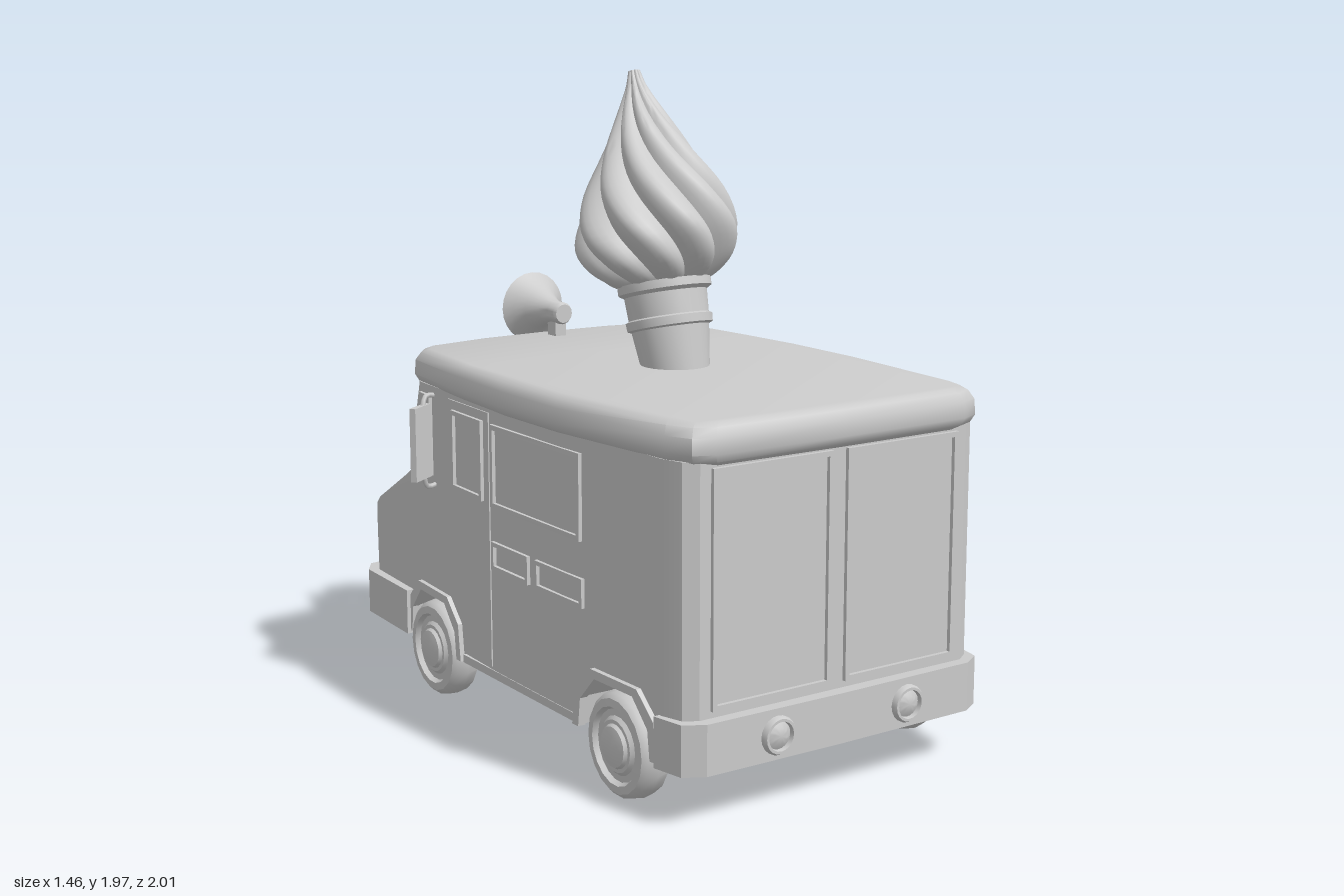
import * as THREE from 'three';
import { toCreasedNormals } from 'three/addons/utils/BufferGeometryUtils.js';

const mat = new THREE.MeshStandardMaterial({ color: 0xcccccc });
const thin = new THREE.MeshStandardMaterial({ color: 0xcccccc, side: THREE.DoubleSide });

// linear lookup in a table of [key, value] with rising keys
function look(table, k) {
  for (let i = 1; i < table.length; i++) {
    const [a, va] = table[i - 1], [b, vb] = table[i];
    if (k <= b || i === table.length - 1) {
      return va + (vb - va) * THREE.MathUtils.clamp((k - a) / (b - a), 0, 1);
    }
  }
}

// half width of the body along z, and how far the nose curves back along x
const WIDTH = [[-1, 0.475], [-0.87, 0.49], [-0.58, 0.505], [-0.4, 0.522], [0, 0.538], [0.4, 0.538], [0.85, 0.52], [0.92, 0.5], [0.95, 0.46]];
const BOW = [[0, 0], [0.28, 0.005], [0.43, 0.03], [0.5, 0.08]];
const WHEELS = [0.655, -0.41];

// closed loft through rings of [x, z] points, each at its own height
function loft(rings, caps = [true, true], crease = 0.5) {
  const n = rings[0].pts.length, pos = [], idx = [];
  rings.forEach(r => r.pts.forEach(([x, z]) => pos.push(x, r.y, z)));
  for (let j = 0; j < rings.length - 1; j++) {
    for (let i = 0; i < n; i++) {
      const a = j * n + i, b = j * n + (i + 1) % n;
      idx.push(a, b, b + n, a, b + n, a + n);
    }
  }
  [0, rings.length - 1].forEach((j, k) => {
    if (!caps[k]) return;
    const flat = rings[j].pts.map(([x, z]) => new THREE.Vector2(x, -z));
    THREE.ShapeUtils.triangulateShape(flat, []).forEach(([a, b, c]) =>
      idx.push(j * n + a, j * n + (k ? b : c), j * n + (k ? c : b)));
  });
  const g = new THREE.BufferGeometry();
  g.setAttribute('position', new THREE.Float32BufferAttribute(pos, 3));
  g.setIndex(idx);
  return toCreasedNormals(g, crease);
}

// right half outline, from rear to front, completed by its mirror image
const mirror = half => half.concat(half.slice().reverse().map(([x, z]) => [-x, z]).filter(([x]) => x !== 0));
const inset = (pts, d) => pts.map(([x, z]) => [x * (1 - d / 0.5), z - Math.sign(z) * d]);

function bodyRing([y, zf, hw, depth]) {
  const notch = c => [[c + hw, 0], [c + hw, depth], [c - hw, depth], [c - hw, 0]].map(([z, d]) => [look(WIDTH, z) - d, z]);
  const q = look(WIDTH, zf + 0.08);
  return { y, pts: mirror([[0, 0.95], [0.46, 0.95], [0.5, 0.925], [0.52, 0.86], ...notch(WHEELS[0]),
    [0.538, 0.4], [0.538, 0], ...notch(WHEELS[1]),
    [q, zf + 0.08], [q - 0.05, zf + 0.03], [0.28, zf + 0.005], [0, zf]]) };
}

const poly = pts => new THREE.Shape(pts.map(p => new THREE.Vector2(...p)));
const rect = (a0, a1, b0, b1) => [[a0, b0], [a1, b0], [a1, b1], [a0, b1]];

// border of width t just inside a polygon
function frameShape(pts, t) {
  const s = poly(pts), box = new THREE.Box2().setFromPoints(s.getPoints());
  const c = box.getCenter(new THREE.Vector2()), d = box.getSize(new THREE.Vector2());
  s.holes.push(new THREE.Path(pts.map(([x, y]) =>
    new THREE.Vector2(c.x + (x - c.x) * (1 - 2 * t / d.x), c.y + (y - c.y) * (1 - 2 * t / d.y)))));
  return s;
}

// extrude a shape and move every vertex by a rule
function wrapped(shape, depth, rule) {
  const g = new THREE.ExtrudeGeometry(shape, { depth, bevelEnabled: false });
  const p = g.attributes.position;
  for (let i = 0; i < p.count; i++) p.setXYZ(i, ...rule(p.getX(i), p.getY(i), p.getZ(i)));
  g.computeVertexNormals();
  return g;
}

export function createModel() {
  const truck = new THREE.Group();
  truck.name = 'iceCreamTruck';
  truck.position.x = -0.1;
  const add = (name, geo, x = 0, y = 0, z = 0, material = mat, parent = truck) => {
    const m = new THREE.Mesh(geo, material);
    m.name = name;
    m.position.set(x, y, z);
    parent.add(m);
    return m;
  };

  // body with wheel wells, hood and sloping windshield: height, nose z, well half width, well depth
  const levels = [[0.165, -0.95, 0.18, 0.13], [0.25, -0.95, 0.17, 0.13], [0.33, -0.953, 0.1, 0.13], [0.33, -0.953, 0.1, 0],
    [0.45, -0.957, 0.05, 0], [0.53, -0.955, 0.05, 0], [0.555, -0.93, 0.05, 0], [0.68, -0.7, 0.05, 0], [0.7, -0.67, 0.05, 0], [1.0, -0.585, 0.05, 0]];
  add('body', loft(levels.map(bodyRing)));

  // roof slab with rounded rim
  const roof = mirror([[0, 0.985], [0.43, 0.98], [0.49, 0.955], [0.525, 0.88], [0.565, 0.4], [0.567, 0.1], [0.55, -0.2],
    [0.515, -0.53], [0.47, -0.585], [0.25, -0.62], [0, -0.63]]);
  add('roof', loft([[0.985, 0.03], [0.998, 0.01], [1.02, 0], [1.065, 0.002], [1.09, 0.015], [1.1, 0.035]]
    .map(([y, d]) => ({ y, pts: inset(roof, d) })), [true, true], 0.7));

  // bumpers
  const bumper = (name, half) => add(name, loft([0.155, 0.3].map(y => ({ y, pts: mirror(half) }))));
  bumper('rearBumper', [[0, 0.99], [0.46, 0.985], [0.52, 0.95], [0.54, 0.85], [0, 0.85]]);
  bumper('frontBumper', [[0, -0.59], [0.532, -0.59], [0.52, -0.89], [0.48, -0.955], [0.22, -0.995], [0, -1]]);

  // rear doors
  for (const s of [-1, 1]) {
    add('rearDoorFrame', wrapped(frameShape(rect(s * 0.225 - 0.2, s * 0.225 + 0.2, 0.32, 0.98), 0.015), 0.012, (a, b, c) => [a, b, c]), 0, 0, 0.95);
  }

  // windshield frame following the nose
  const screen = [[-0.44, 0.7], [-0.28, 0.7], [0, 0.7], [0.28, 0.7], [0.44, 0.7], [0.41, 0.975], [0.28, 0.975], [0, 0.975], [-0.28, 0.975], [-0.41, 0.975]];
  add('windshieldFrame', wrapped(frameShape(screen, 0.02), 0.02,
    (a, b, c) => [-a, b, look([[0.7, -0.67], [1, -0.585]], b) + look(BOW, Math.abs(a)) - c + 0.005]));

  // lamps
  const lampGeo = r => toCreasedNormals(new THREE.LatheGeometry(
    [[r, -0.03], [r, 0.01], [r * 0.9, 0.02], [r * 0.76, 0.02], [r * 0.72, 0.006], [r * 0.4, 0.016], [0, 0.02]].map(p => new THREE.Vector2(...p)), 20), 0.6);
  for (const s of [-1, 1]) {
    add('tailLight', lampGeo(0.055).rotateX(Math.PI / 2), s * 0.228, 0.225, 0.985);
    add('headlight', lampGeo(0.08).rotateX(-Math.PI / 2), s * 0.34, 0.415, -0.945).rotation.y = -s * 0.16;
  }

  // everything repeated on both sides
  const tyre = [[0, -0.05], [0.13, -0.05], [0.148, -0.035], [0.155, 0], [0.148, 0.035], [0.135, 0.048], [0.112, 0.05], [0.104, 0.035],
    [0.085, 0.036], [0.075, 0.046], [0.064, 0.046], [0.058, 0.056], [0.035, 0.062], [0, 0.064]].map(p => new THREE.Vector2(...p));
  const trims = [
    ['servingWindowFrame', rect(0, 0.49, 0.7, 0.95), 0.015, 0.014],
    ['lowerPanelFrame', rect(0.25, 0.5, 0.51, 0.595), 0.013, 0.014],
    ['lowerPanelFrame', rect(0, 0.21, 0.51, 0.595), 0.013, 0.014],
    ['doorOutline', [[-0.02, 0.2], [-0.17, 0.2], [-0.2, 0.26], [-0.275, 0.47], [-0.29, 0.6], [-0.29, 0.98], [-0.02, 0.98]], 0.01, 0.007],
    ['doorWindowFrame', rect(-0.26, -0.06, 0.705, 0.95), 0.014, 0.014],
    ['quarterWindowFrame', [[-0.41, 0.715], [-0.575, 0.705], [-0.49, 0.97], [-0.41, 0.97]], 0.014, 0.014]];
  for (const s of [-1, 1]) {
    const onSide = (shape, depth, out) => wrapped(shape, depth, (a, b, c) => [s * (look(WIDTH, -s * a) + out + c), b, -s * a]);
    for (const [name, pts, t, depth] of trims) {
      add(name, onSide(frameShape(pts.map(([z, y]) => [-s * z, y]), t), depth, -0.003));
    }
    for (const z of WHEELS) {
      const arch = [[0.2, 0.165], [0.185, 0.28], [0.11, 0.35], [-0.11, 0.35], [-0.185, 0.28], [-0.2, 0.165],
        [-0.17, 0.165], [-0.16, 0.25], [-0.09, 0.325], [0.09, 0.325], [0.16, 0.25], [0.17, 0.165]];
      add('wheelArch', onSide(poly(arch.map(([d, y]) => [-s * (z + d), y])), 0.025, -0.01));
      add('wheel', toCreasedNormals(new THREE.LatheGeometry(tyre, 18), 0.7).rotateZ(-s * Math.PI / 2), s * 0.49, 0.155, z);
    }
    // sill between the wheels
    add('sill', new THREE.BoxGeometry(0.02, 0.025, 0.66), s * 0.53, 0.178, 0.13);
    // wing mirror on a bent arm
    add('mirror', new THREE.BoxGeometry(0.1, 0.23, 0.02), s * 0.585, 0.835, -0.365).rotation.y = -s * 0.6;
    const arm = [[0.51, 0.97, -0.4], [0.555, 0.975, -0.385], [0.575, 0.93, -0.37], [0.575, 0.74, -0.37], [0.555, 0.69, -0.385], [0.51, 0.69, -0.4]];
    add('mirrorArm', new THREE.TubeGeometry(new THREE.CatmullRomCurve3(arm.map(([x, y, z]) => new THREE.Vector3(s * x, y, z))), 24, 0.008, 6));
  }

  // serving counter
  add('counter', new THREE.BoxGeometry(0.13, 0.016, 0.52), 0.59, 0.485, 0.25);

  // awning: sagging sheet and scalloped valance
  const sheet = poly([[0.53, 1.005], [0.58, 0.978], [0.65, 0.955], [0.72, 0.943], [0.795, 0.932], [0.793, 0.92], [0.72, 0.931], [0.65, 0.943], [0.58, 0.965], [0.53, 0.99]]);
  add('awning', new THREE.ExtrudeGeometry(sheet, { depth: 0.69, bevelEnabled: false }), 0, 0, -0.14);
  const valance = new THREE.Shape().moveTo(0, 0.93), step = 0.69 / 5;
  valance.lineTo(0, 0.885);
  for (let i = 0; i < 5; i++) valance.bezierCurveTo((i + 0.15) * step, 0.825, (i + 0.85) * step, 0.825, (i + 1) * step, 0.885);
  valance.lineTo(0.69, 0.93);
  add('valance', wrapped(valance, 0.012, (a, b, c) => [0.783 + c + (0.93 - b) * 0.38, b, 0.55 - a]), 0, 0, 0, thin);

  // giant cone, leaning forward
  const cone = new THREE.Group();
  cone.name = 'iceCreamCone';
  cone.position.set(0, 1.08, 0.175);
  cone.rotation.x = -0.25;
  truck.add(cone);
  const cup = [[0, -0.03], [0.098, -0.03], [0.118, 0.13], [0.13, 0.135], [0.132, 0.16], [0.122, 0.165], [0.126, 0.235], [0.142, 0.245], [0.142, 0.27], [0, 0.27]];
  add('cone', toCreasedNormals(new THREE.LatheGeometry(cup.map(p => new THREE.Vector2(...p)), 24), 0.6), 0, 0, 0, mat, cone);
  const profile = new THREE.SplineCurve([[0.1, 0.25], [0.17, 0.285], [0.225, 0.34], [0.248, 0.42], [0.215, 0.53], [0.145, 0.655], [0.08, 0.77], [0.035, 0.86], [0.018, 0.915]]
    .map(p => new THREE.Vector2(...p)));
  const LOBES = 9, RINGS = 32;
  const swirl = Array.from({ length: RINGS + 1 }, (_, j) => {
    const p = profile.getPoint(j / RINGS);
    return { y: p.y, pts: Array.from({ length: LOBES * 8 }, (_, i) => {
      const t = i / (LOBES * 8) * Math.PI * 2, r = p.x * (0.82 + 0.2 * Math.abs(Math.sin(t * LOBES / 2)));
      const turn = t - 2.0 * (p.y - 0.25) / 0.66;
      return [r * Math.sin(turn), r * Math.cos(turn)];
    }) };
  });
  add('softServe', loft(swirl, [true, true], 0.6), 0, 0, 0, mat, cone);

  // loudspeaker horn on a short post
  const horn = [[0, 0], [0.03, 0], [0.036, 0.01], [0.036, 0.05], [0.045, 0.09], [0.065, 0.14], [0.09, 0.175], [0.115, 0.2], [0.112, 0.2], [0.085, 0.175], [0.055, 0.13], [0.03, 0.08], [0, 0.08]];
  add('loudspeaker', toCreasedNormals(new THREE.LatheGeometry(horn.map(p => new THREE.Vector2(...p)), 24), 0.6).rotateX(-Math.PI / 2), 0, 1.175, -0.47, thin);
  add('loudspeakerPost', new THREE.BoxGeometry(0.04, 0.08, 0.05), 0, 1.125, -0.515);

  const model = new THREE.Group();
  model.add(truck);
  return model;
}
